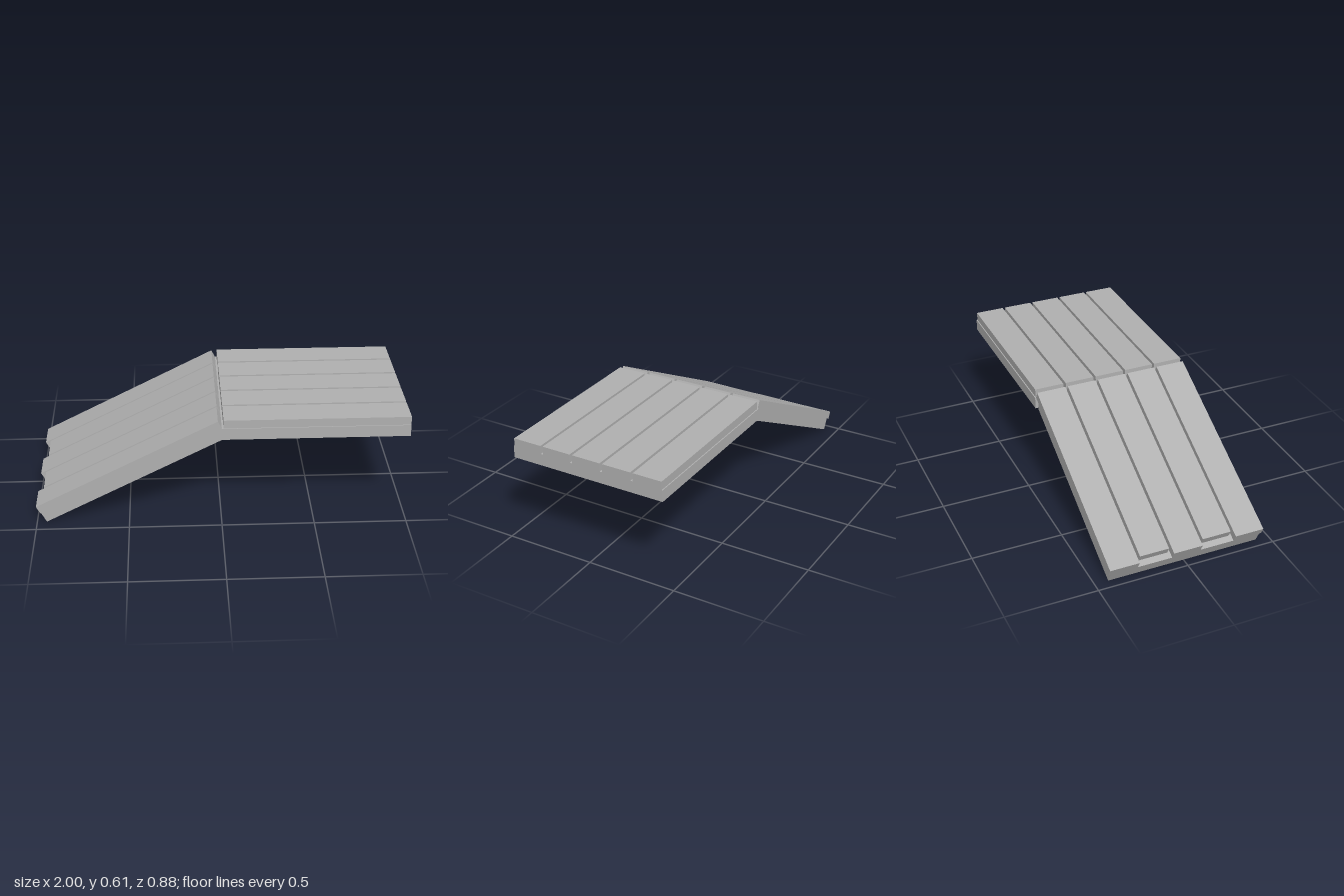
import * as THREE from 'three';

export function createModel() {
  const model = new THREE.Group();
  model.name = 'hingedSlatRamp';
  const grey = new THREE.MeshStandardMaterial({ color: 0xb0b0b0 });
  grey.name = 'grey';

  // Extrudes a side profile (x, y) across the width, centred on z
  function slab(name, points, width, z = 0) {
    const shape = new THREE.Shape(points.map(([x, y]) => new THREE.Vector2(x, y)));
    const geometry = new THREE.ExtrudeGeometry(shape, { depth: width, bevelEnabled: false });
    geometry.translate(0, 0, z - width / 2);
    const mesh = new THREE.Mesh(geometry, grey);
    mesh.name = name;
    model.add(mesh);
  }

  // Slope coordinates: s runs up the ramp, t is height above its underside
  const angle = THREE.MathUtils.degToRad(27);
  const c = Math.cos(angle), sn = Math.sin(angle);
  const onSlope = (s, t) => [-0.948 + s * c - t * sn, s * sn + t * c];
  const baseTop = 0.069, plankTop = 0.115, slopeLength = 1.1;

  // Bases of the level and sloping halves
  slab('levelBase', [[0, 0.495], [1, 0.495], [1, 0.56], [0, 0.56]], 0.884);
  slab('slopeBase', [onSlope(0, 0), [0, 0.484], [0, 0.56], onSlope(0, baseTop)], 0.85);

  // Five planks on each half; alternate sloping planks stop short of the foot
  for (let i = 0; i < 5; i++) {
    const z = (i - 2) * 0.1775;
    slab('levelPlank', [[0.01, 0.56], [1, 0.56], [1, 0.606], [0.01, 0.606]], 0.163, z);
    const start = i % 2 ? 0.034 : 0;
    slab('slopePlank', [
      onSlope(start, baseTop), onSlope(slopeLength, baseTop),
      onSlope(slopeLength, plankTop), onSlope(start, plankTop),
    ], 0.163, z);
  }
  return model;
}
